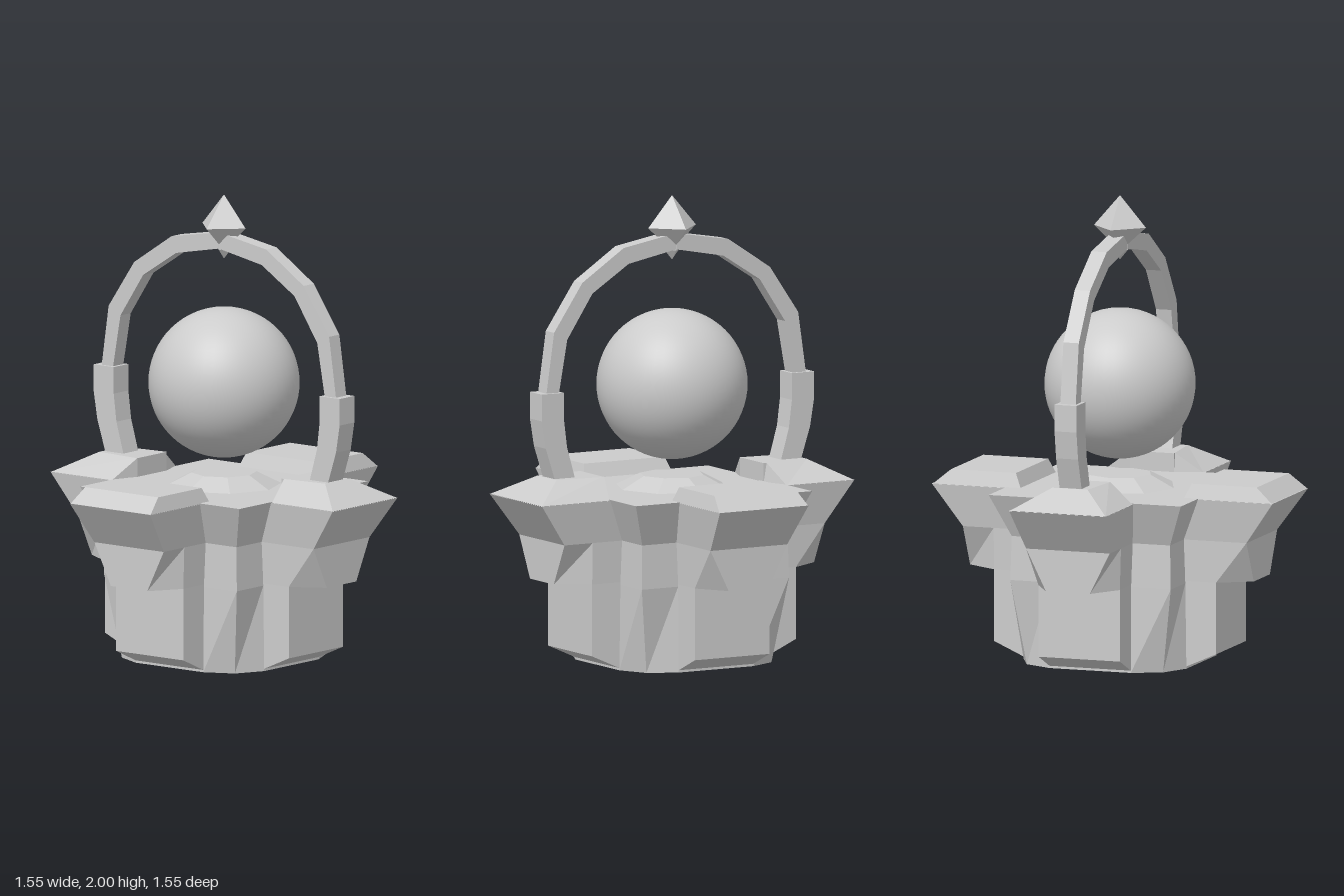
import * as THREE from 'three';

const flat = new THREE.MeshStandardMaterial({ color: 0xcccccc, flatShading: true });
const smooth = new THREE.MeshStandardMaterial({ color: 0xcccccc });

function add(parent, name, geometry, material = flat) {
  const mesh = new THREE.Mesh(geometry, material);
  mesh.name = name;
  parent.add(mesh);
  return mesh;
}

// Capped solid through a stack of rings, each counterclockwise seen from above
function loft(rings) {
  const pos = [];
  const tri = (a, b, c) => pos.push(...a, ...b, ...c);
  const n = rings[0].length;
  for (let i = 0; i < rings.length - 1; i++) {
    for (let j = 0; j < n; j++) {
      const k = (j + 1) % n;
      const [a, b, c, d] = [rings[i][j], rings[i][k], rings[i + 1][k], rings[i + 1][j]];
      tri(a, b, c);
      tri(a, c, d);
    }
  }
  const low = rings[0], high = rings[rings.length - 1];
  for (let j = 1; j < n - 1; j++) {
    tri(low[0], low[j + 1], low[j]);
    tri(high[0], high[j], high[j + 1]);
  }
  const g = new THREE.BufferGeometry();
  g.setAttribute('position', new THREE.Float32BufferAttribute(pos, 3));
  g.computeVertexNormals();
  return g;
}

// Ring at height y, symmetric in x, from [halfWidth, z] points listed outside to inside
const ring = (y, ...half) => [
  ...half.map(([x, z]) => [x, y, z]),
  ...half.slice().reverse().map(([x, z]) => [-x, y, z]),
];

// Twelve-sided core ring: side distance, half width of the side, corner position
function coreRing(y, side, half, corner) {
  const pts = [];
  for (let k = 0; k < 4; k++) {
    const c = Math.round(Math.cos(k * Math.PI / 2)), s = Math.round(Math.sin(k * Math.PI / 2));
    for (const [x, z] of [[-half, side], [half, side], [corner, corner]]) {
      pts.push([x * c + z * s, y, z * c - x * s]);
    }
  }
  return pts;
}

// Arm reaching toward +z; the caps differ between front/back and the sides
function buildArm(isSide) {
  const arm = new THREE.Group();
  add(arm, 'armFoot', loft([
    ring(0.01, [0.185, 0.37], [0.185, 0.25]),
    ring(0.07, [0.185, 0.505], [0.185, 0.25]),
    ring(0.38, [0.185, 0.505], [0.185, 0.25]),
  ]));
  add(arm, 'armBracket', loft([
    ring(0.38, [0.1, 0.645], [0.185, 0.505], [0.185, 0.25]),
    ring(0.56, [0.19, 0.645], [0.19, 0.505], [0.19, 0.25]),
  ]));
  add(arm, 'armHead', loft([
    ring(0.56, [0.19, 0.645], [0.19, 0.25]),
    ring(0.742, [0.22, 0.775], [0.22, 0.25]),
  ]));
  add(arm, 'armCap', loft(isSide
    ? [ring(0.74, [0.22, 0.775], [0.22, 0.44], [0.1, 0.395]),
       ring(0.826, [0.08, 0.62], [0.1, 0.41], [0.1, 0.395])]
    : [ring(0.74, [0.22, 0.772], [0.22, 0.37]),
       ring(0.805, [0.2, 0.695], [0.2, 0.4])]));
  return arm;
}

// Flat outline in the front plane given thickness along z
function plate(points, depth) {
  const shape = new THREE.Shape(points.map(([x, y]) => new THREE.Vector2(x, y)));
  return new THREE.ExtrudeGeometry(shape, { depth, bevelEnabled: false }).translate(0, 0, -depth / 2);
}

export function createModel() {
  const model = new THREE.Group();
  model.name = 'orbPedestal';

  // Pedestal core with flared top
  add(model, 'core', loft([
    coreRing(0, 0.37, 0.185, 0.31),
    coreRing(0.37, 0.365, 0.185, 0.365),
    coreRing(0.56, 0.36, 0.19, 0.36),
    coreRing(0.745, 0.437, 0.22, 0.437),
  ]));

  // Four arms
  ['front', 'left', 'back', 'right'].forEach((side, k) => {
    const arm = buildArm(k % 2 === 1);
    arm.name = side + 'Arm';
    arm.rotation.y = k * Math.PI / 2;
    model.add(arm);
  });

  // Raised seat under the orb
  add(model, 'orbSeat', new THREE.CylinderGeometry(0.14, 0.25, 0.055, 8)).position.y = 0.77;

  // Floating orb
  add(model, 'orb', new THREE.SphereGeometry(0.323, 48, 32), smooth).position.y = 1.187;

  // Arch supports
  const support = [[0.565, 1.195], [0.565, 1.08], [0.55, 0.96], [0.51, 0.82],
    [0.61, 0.82], [0.655, 0.96], [0.675, 1.08], [0.675, 1.195]];
  for (const s of [1, -1]) {
    add(model, s > 0 ? 'leftArchSupport' : 'rightArchSupport',
      plate(support.map(([x, y]) => [s * x, y]), 0.1));
  }

  // Faceted arch
  const outer = [[0.645, 1.18], [0.605, 1.455], [0.465, 1.66], [0.26, 1.795]];
  const inner = [[0.583, 1.18], [0.54, 1.42], [0.415, 1.61], [0.235, 1.725]];
  const across = (side, peak) => [...side, [0, peak],
    ...side.slice().reverse().map(([x, y]) => [-x, y])];
  add(model, 'arch', plate([...across(outer, 1.84), ...across(inner, 1.77).reverse()], 0.07));

  // Four-sided gem with a small point below
  const gem = [[0, 1.722], [0.036, 1.765], [0.036, 1.79], [0.118, 1.865], [0, 2]];
  add(model, 'gem', new THREE.LatheGeometry(gem.map(([r, y]) => new THREE.Vector2(r, y)), 4));

  return model;
}
